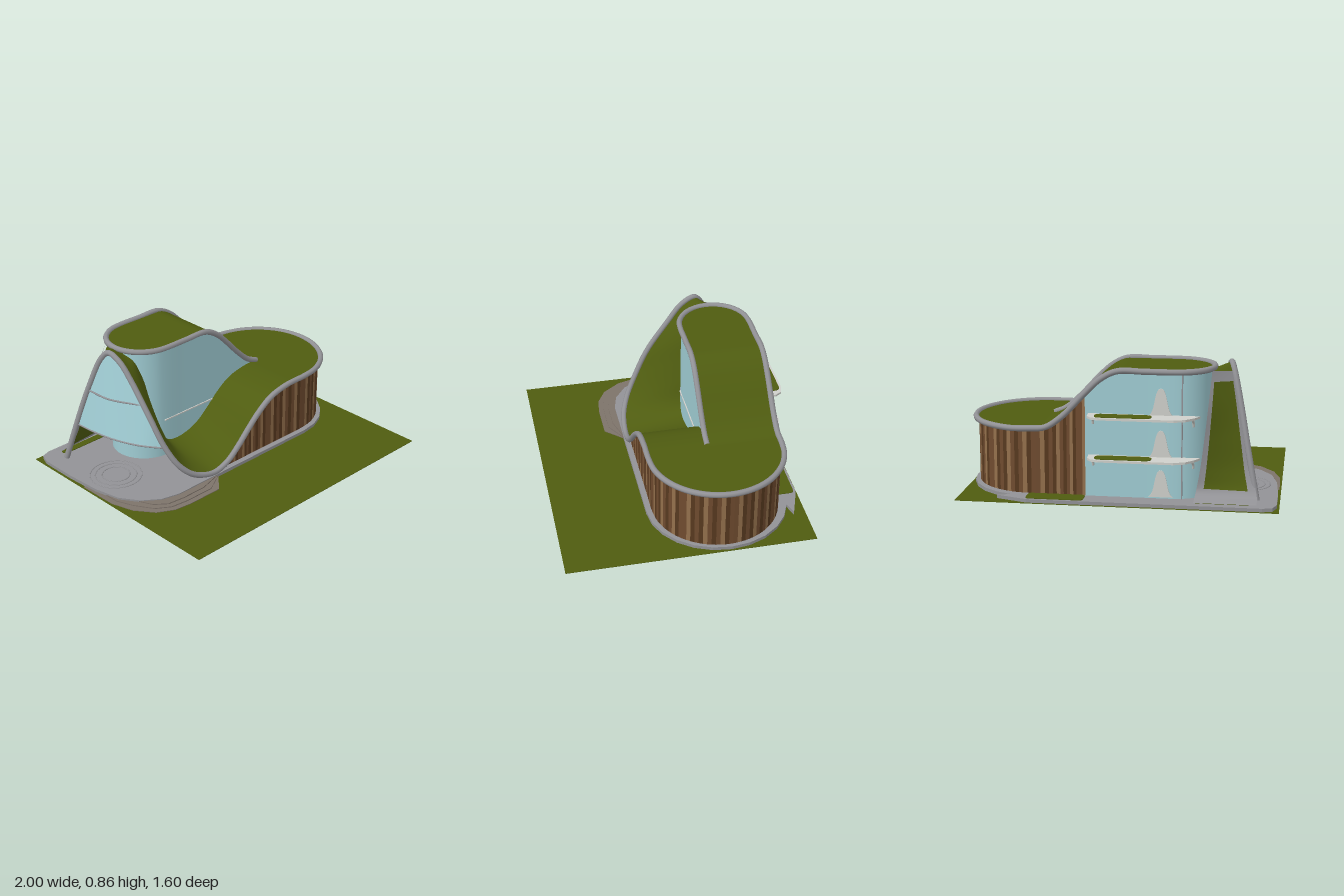
import * as THREE from 'three';

const mat = (name, color, double = true) => {
  const m = new THREE.MeshStandardMaterial({ color, side: double ? THREE.DoubleSide : THREE.FrontSide });
  m.name = name;
  return m;
};
const V = (x, y, z) => new THREE.Vector3(x, y, z);
const curve = (pts) => new THREE.CatmullRomCurve3(pts);
const list = (rows) => rows.map((r) => V(...r));

// Ruled surface between two curves given as functions of t
function ruled(a, b, nt, nu, t0 = 0, t1 = 1, u0 = 0, u1 = 1) {
  const pos = [], idx = [];
  for (let i = 0; i <= nt; i++) {
    const t = t0 + (t1 - t0) * i / nt, p = a(t), q = b(t);
    for (let j = 0; j <= nu; j++) {
      const c = p.clone().lerp(q, u0 + (u1 - u0) * j / nu);
      pos.push(c.x, c.y, c.z);
      if (i < nt && j < nu) {
        const k = i * (nu + 1) + j, n = k + nu + 1;
        idx.push(k, k + 1, n, n, k + 1, n + 1);
      }
    }
  }
  const g = new THREE.BufferGeometry();
  g.setAttribute('position', new THREE.Float32BufferAttribute(pos, 3));
  g.setIndex(idx);
  g.computeVertexNormals();
  return g;
}

// Flat plate from a smooth or straight outline in x, z
function plate(pts, y, h) {
  const s = new THREE.Shape(pts.map(([x, z]) => new THREE.Vector2(x, -z)));
  return new THREE.ExtrudeGeometry(s, { depth: h, bevelEnabled: false }).rotateX(-Math.PI / 2).translate(0, y, 0);
}
// Outline of a rectangle with rounded corners
function rounded(x0, x1, z0, z1, r) {
  const out = [];
  [[x1 - r, z1 - r], [x0 + r, z1 - r], [x0 + r, z0 + r], [x1 - r, z0 + r]].forEach(([cx, cz], k) => {
    for (let i = 0; i <= 6; i++) {
      const a = (k + i / 6) * Math.PI / 2;
      out.push([cx + r * Math.cos(a), cz + r * Math.sin(a)]);
    }
  });
  return out;
}

// Height and half width of the roofs along x
const upperY = (x) => 0.82 - 0.375 * THREE.MathUtils.smoothstep(x, -0.02, 0.5);
const upperHalf = (x) => 0.235 * Math.sqrt(Math.max(0, 1 - Math.min(0, (x + 0.34) / 0.24) ** 2));
const lowerHalf = (x) => 0.43 * Math.sqrt(Math.max(0, 1 - Math.max(0, (x - 0.55) / 0.43) ** 2));

export function createModel() {
  const model = new THREE.Group();
  const green = mat('grass green', 0x4f5c10), grey = mat('concrete grey', 0x929296);
  const glass = mat('pale blue glass', 0xa0cdd4), white = mat('balcony white', 0xcfd0cb);
  const taupe = mat('step taupe', 0x7d736a);
  const woods = [mat('dark wood', 0x57391f), mat('mid wood', 0x6f4b2f), mat('light wood', 0x93704c)];
  const add = (name, geo, m) => {
    const mesh = new THREE.Mesh(geo, m);
    mesh.name = name;
    model.add(mesh);
    return mesh;
  };
  const tube = (name, pts, r, m, n = 40) => add(name, new THREE.TubeGeometry(curve(pts), n, r, 8), m);

  // Ground, terrace slab and steps
  add('ground', new THREE.BoxGeometry(2, 0.003, 1.6).translate(0, 0.0015, 0), green);
  const slab = [[-0.9, -0.79], [-0.96, -0.77], [-0.985, -0.7], [-0.985, -0.45], [-0.97, -0.2], [-0.93, -0.02],
    [-0.85, 0.1], [-0.74, 0.18], [-0.62, 0.21], [0.55, 0.21]];
  for (let i = 1; i < 12; i++) {
    const a = Math.PI / 2 - i * Math.PI / 12;
    slab.push([0.55 + 0.44 * Math.cos(a), -0.25 + 0.46 * Math.sin(a)]);
  }
  slab.push([0.75, -0.72], [0.55, -0.79]);
  add('terraceSlab', plate(slab, 0, 0.025), grey);
  for (let i = 0; i < 3; i++) {
    const d = 0.035 * i;
    add('terraceStep', plate([[-0.99 + d, -0.3], [-0.985 + d, -0.02], [-0.94 + d, 0.13 - d], [-0.85 + d / 2, 0.25 - d],
      [-0.74, 0.31 - d], [-0.62, 0.325 - d], [-0.38 - d, 0.325 - d], [-0.27, 0.205], [-0.6, -0.1]],
    0, 0.007 + 0.006 * i), taupe);
  }
  [0.17, 0.135, 0.09].forEach((r) => add('floorRing',
    new THREE.TorusGeometry(r, 0.004, 6, 40).rotateX(Math.PI / 2).translate(-0.76, 0.025, -0.25), grey));
  [[-0.84, -0.48, -0.735, -0.685], [0.2, 0.56, -0.775, -0.66]].forEach(([a, b, c, d]) =>
    add('planting', plate(rounded(a, b, c, d, 0.024), 0.025, 0.004), green));

  // One continuous roof edge: arch foot, peak, dip, round end, upper roof
  const limb = list([[-0.86, 0.03, -0.64], [-0.825, 0.2, -0.6], [-0.785, 0.4, -0.55], [-0.745, 0.6, -0.49]]);
  const sweep = list([[-0.7, 0.79, -0.42], [-0.68, 0.84, -0.37], [-0.665, 0.8, -0.28], [-0.65, 0.68, -0.18],
    [-0.635, 0.47, -0.03], [-0.605, 0.3, 0.06], [-0.55, 0.17, 0.13], [-0.47, 0.09, 0.17], [-0.38, 0.05, 0.185],
    [-0.28, 0.035, 0.19], [-0.17, 0.07, 0.19], [-0.07, 0.15, 0.19], [0.02, 0.24, 0.19], [0.12, 0.33, 0.19],
    [0.23, 0.4, 0.19], [0.38, 0.435, 0.19], [0.55, 0.44, 0.19]]);
  const roundEnd = [];
  for (let i = 1; i < 12; i++) {
    const a = Math.PI / 2 - i * Math.PI / 12;
    roundEnd.push(V(0.55 + 0.43 * Math.cos(a), 0.44, -0.24 + 0.43 * Math.sin(a)));
  }
  const backRise = [0.55, 0.45, 0.35, 0.27, 0.2].map((x) => V(x, upperY(x), -0.67));
  const upperEdge = [0.2, 0.1, 0, -0.17, -0.34].map((x) => V(x, upperY(x), -0.67));
  for (let i = 1; i < 10; i++) {
    const a = i * Math.PI / 10;
    upperEdge.push(V(-0.34 - 0.24 * Math.sin(a), 0.82, -0.435 - 0.235 * Math.cos(a)));
  }
  [-0.34, -0.17, 0, 0.1, 0.2, 0.3, 0.4, 0.48].forEach((x) => upperEdge.push(V(x, upperY(x), -0.2)));
  tube('roofEdge', [...limb, ...sweep, ...roundEnd, ...backRise, ...upperEdge.slice(1)], 0.019, grey, 320);

  // Green roofs
  const inner = list([[-0.565, 0.8, -0.52], [-0.57, 0.81, -0.45], [-0.555, 0.79, -0.38], [-0.53, 0.75, -0.31],
    [-0.49, 0.64, -0.275], [-0.46, 0.48, -0.245], [-0.42, 0.32, -0.225], [-0.385, 0.2, -0.215], [-0.34, 0.14, -0.215],
    [-0.27, 0.12, -0.215], [-0.17, 0.13, -0.215], [-0.07, 0.17, -0.215], [0.02, 0.24, -0.215], [0.12, 0.33, -0.215],
    [0.23, 0.4, -0.215], [0.38, 0.435, -0.215], [0.55, 0.44, -0.215]]);
  const co = curve(sweep), ci = curve(inner);
  add('sweepingRoof', ruled((t) => co.getPoint(t), (t) => ci.getPoint(t), 120, 10), green);
  const roof = (x0, x1, zc, half, yf, yb) => {
    const x = (t) => x0 + (x1 - x0) * (1 - Math.cos(Math.PI * t)) / 2;
    return ruled((t) => V(x(t), yf(x(t)), zc + half(x(t))), (t) => V(x(t), yb(x(t)), zc - half(x(t))), 60, 6);
  };
  add('upperRoof', roof(-0.58, 0.5, -0.435, upperHalf, upperY, upperY), green);
  add('lowerRoof', roof(0.49, 0.98, -0.24, lowerHalf, () => 0.44, upperY), green);

  // Glass wall below the upper roof
  const cu = curve(upperEdge);
  const glassAt = (t, y) => {
    const p = cu.getPoint(t);
    return V(p.x < -0.34 ? -0.34 + (p.x + 0.34) * 0.95 : p.x, y ?? p.y, -0.435 + (p.z + 0.435) * 0.95);
  };
  add('glassWall', ruled((t) => glassAt(t), (t) => glassAt(t, 0.025), 120, 1), glass);
  add('railLine', new THREE.BoxGeometry(0.43, 0.008, 0.008).translate(-0.145, 0.29, -0.209), white);
  add('backMullion', new THREE.BoxGeometry(0.008, 0.78, 0.008).translate(-0.4, 0.415, -0.66), grey);

  // Timber cladding, one upright strip per slat
  const cw = curve([...sweep.slice(9), ...roundEnd, ...backRise]);
  const wp = cw.getSpacedPoints(96).map((p) =>
    V(p.x > 0.55 ? 0.55 + (p.x - 0.55) * 0.96 : p.x, p.y, -0.24 + (p.z + 0.24) * 0.96));
  const wpos = [], wood = new THREE.BufferGeometry();
  const pattern = [0, 1, 0, 2, 1, 0, 1, 2, 0, 1, 1, 2];
  for (let i = 0; i < 96; i++) {
    const a = wp[i], b = wp[i + 1], y = 0.025;
    wpos.push(a.x, y, a.z, b.x, y, b.z, b.x, b.y, b.z, a.x, y, a.z, b.x, b.y, b.z, a.x, a.y, a.z);
    wood.addGroup(i * 6, 6, pattern[i % 12]);
  }
  wood.setAttribute('position', new THREE.Float32BufferAttribute(wpos, 3));
  wood.computeVertexNormals();
  add('timberCladding', wood, woods);

  // Leaning back panel: planted centre in a concrete frame
  const pl = curve([V(-0.865, 0.035, -0.76), V(-0.86, 0.07, -0.67), ...limb.slice(1), sweep[0]]);
  const pr = curve(list([[-0.48, 0.035, -0.76], [-0.49, 0.085, -0.685], [-0.51, 0.2, -0.67], [-0.535, 0.4, -0.66],
    [-0.555, 0.6, -0.635], [-0.57, 0.81, -0.54]]));
  const panel = (name, m, t0, t1, u0, u1) =>
    add(name, ruled((t) => pl.getPoint(t), (t) => pr.getPoint(t), 24, 4, t0, t1, u0, u1), m);
  panel('backPanelPlanting', green, 0.24, 0.94, 0.14, 0.88);
  panel('backPanelFrame', grey, 0, 0.24, 0, 1);
  panel('backPanelFrame', grey, 0.94, 1, 0, 1);
  panel('backPanelFrame', grey, 0.24, 0.94, 0, 0.14);
  panel('backPanelFrame', grey, 0.24, 0.94, 0.88, 1);

  // Side window in the arch, open below
  const sill = list([[-0.805, 0.29, -0.575], [-0.795, 0.29, -0.42], [-0.765, 0.29, -0.25], [-0.7, 0.29, -0.08],
    [-0.605, 0.29, 0.06]]);
  const cs = curve(sill);
  const ca = curve([V(-0.805, 0.29, -0.575), ...limb.slice(2), ...sweep.slice(0, 6)]);
  add('sideWindow', ruled((t) => cs.getPoint(t), (t) => ca.getPoint(t), 40, 6), glass);
  tube('windowSill', sill, 0.006, grey);
  tube('windowTransom', list([[-0.755, 0.55, -0.5], [-0.74, 0.55, -0.31], [-0.64, 0.55, -0.1]]), 0.006, grey);

  // Back balconies with planters, brackets and upright fins
  const deck = [[-0.51, -0.655], [-0.48, -0.71], [-0.43, -0.765], [-0.36, -0.79], [0.1, -0.79], [0.15, -0.775],
    [0.175, -0.735], [0.18, -0.655]];
  const fin = new THREE.Shape();
  fin.moveTo(-0.075, 0);
  fin.bezierCurveTo(-0.03, 0.03, -0.045, 0.17, 0, 0.17);
  fin.bezierCurveTo(0.045, 0.17, 0.03, 0.03, 0.075, 0);
  [0.025, 0.275, 0.537].forEach((y, i) => {
    if (i > 0) {
      add('balcony', plate(deck, y, 0.014), white);
      add('balconyPlanter', plate(rounded(-0.22, 0.13, -0.775, -0.685, 0.035), y + 0.014, 0.004), green);
      [-0.47, 0.15].forEach((x) => tube('balconyBracket',
        list([[x, y - 0.05, -0.66], [x, y - 0.02, -0.675], [x, y, -0.72]]), 0.008, white, 10));
    }
    add('balconyFin', new THREE.ExtrudeGeometry(fin, { depth: 0.008, bevelEnabled: false })
      .translate(-0.27, y + 0.01, -0.668), white);
  });
  return model;
}
